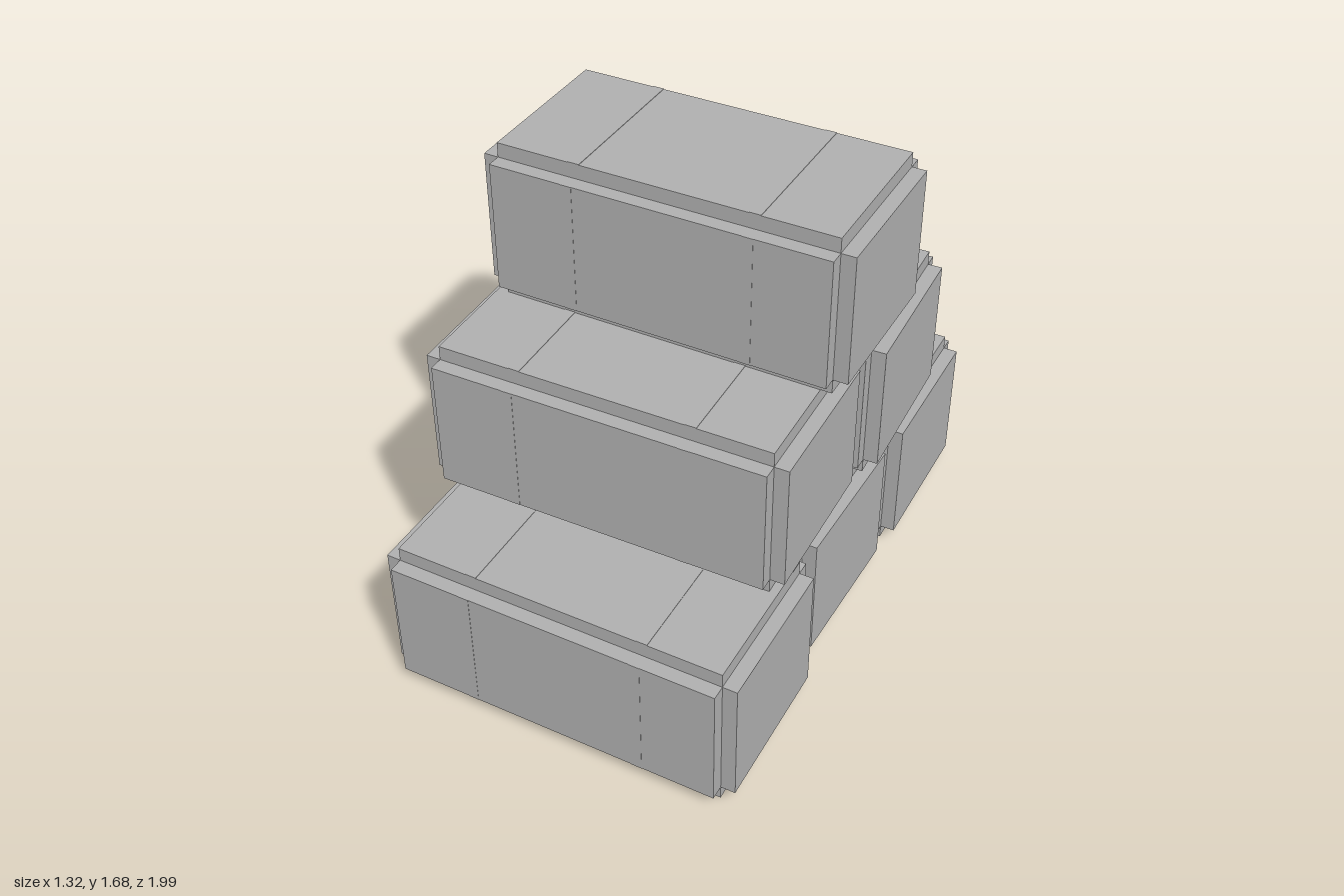
import * as THREE from 'three';

const W = 1.155, H = 0.558, D = 0.54; // core block of a crate
const PANEL = 0.05;                   // how far side panels stand out
const PANEL_H = H - 2 * 0.051;        // panels stop short of top and bottom

// x, row, z, turn about y
const CRATES = [
  [0.0, 0, 0.662, -0.024],
  [-0.025, 0, -0.025, -0.049],
  [0.008, 0, -0.668, -0.015],
  [-0.025, 1, 0.297, -0.005],
  [0.015, 1, -0.347, 0.015],
  [0.02, 2, -0.047, -0.023],
];

export function createModel() {
  const grey = new THREE.MeshStandardMaterial({ color: 0xb0b0b0 });
  grey.name = 'plain grey';

  const box = (parent, name, w, h, d, x, y, z) => {
    const mesh = new THREE.Mesh(new THREE.BoxGeometry(w, h, d), grey);
    mesh.name = name;
    mesh.position.set(x, y, z);
    parent.add(mesh);
  };

  const makeCrate = () => {
    const crate = new THREE.Group();
    box(crate, 'core', W, H, D, 0, H / 2, 0);
    for (const s of [-1, 1]) {
      // raised panels on the four sides
      box(crate, s > 0 ? 'frontPanel' : 'backPanel', W, PANEL_H, PANEL, 0, H / 2, s * (D + PANEL) / 2);
      box(crate, s > 0 ? 'leftPanel' : 'rightPanel', PANEL, PANEL_H, D, s * (W + PANEL) / 2, H / 2, 0);
      // thin straps across the top and down the front and back panels
      box(crate, 'topStrap', 0.038, 0.004, D, s * 0.305, H, 0);
      for (const f of [-1, 1])
        box(crate, 'panelStrap', 0.038, PANEL_H, 0.002, s * 0.305, H / 2, f * (D / 2 + PANEL));
    }
    return crate;
  };

  // crates stacked three, two, one
  const model = new THREE.Group();
  model.name = 'crateStack';
  CRATES.forEach(([x, row, z, turn], i) => {
    const crate = makeCrate();
    crate.name = `crate${i + 1}`;
    crate.position.set(x, row * H, z);
    crate.rotation.y = turn;
    model.add(crate);
  });
  return model;
}
